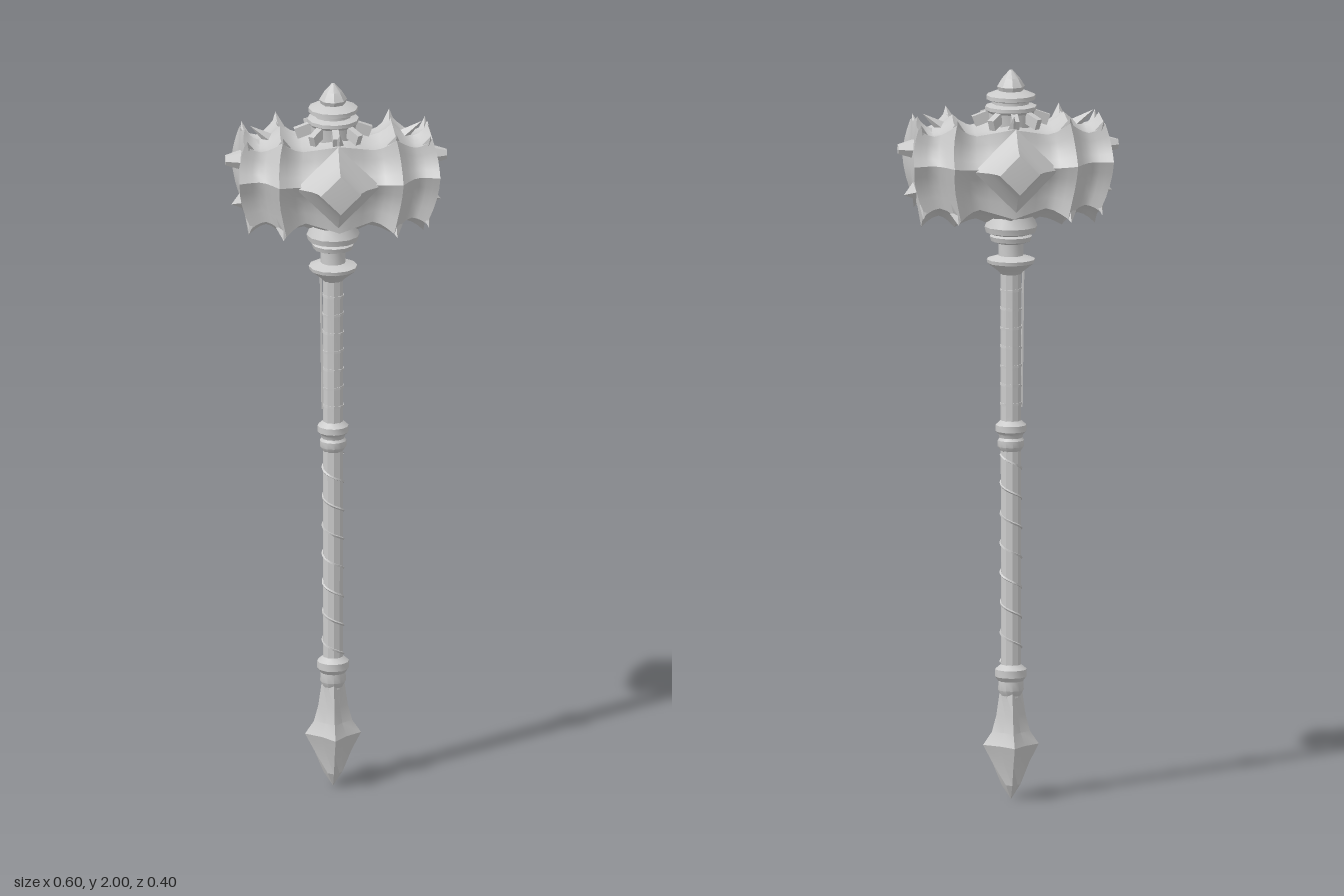
import * as THREE from 'three';
import { toCreasedNormals } from 'three/addons/utils/BufferGeometryUtils.js';

const AX = -0.008; // shaft axis in x
const HY = 1.74; // height of the head's centre
const material = new THREE.MeshStandardMaterial({ color: 0xcccccc, side: THREE.DoubleSide });

function add(parent, name, geometry, crease = 0.6) {
  const mesh = new THREE.Mesh(toCreasedNormals(geometry, crease), material);
  mesh.name = name;
  parent.add(mesh);
  return mesh;
}

function lathe(parent, name, points, sides = 12) {
  const mesh = add(parent, name, new THREE.LatheGeometry(points.map(p => new THREE.Vector2(...p)), sides));
  mesh.position.x = AX;
  return mesh;
}

// Skin closed loops of 3D points and cap both ends
function loft(rings) {
  const n = rings[0].length, pos = rings.flat(2), index = [];
  for (let i = 0; i < rings.length - 1; i++) {
    for (let j = 0; j < n; j++) {
      const a = i * n + j, b = i * n + (j + 1) % n;
      index.push(a, a + n, b, b, a + n, b + n);
    }
  }
  for (const end of [0, rings.length - 1]) {
    const centre = pos.length / 3;
    for (const k of [0, 1, 2]) pos.push(rings[end].reduce((s, p) => s + p[k], 0) / n + (k === 0 ? (end ? 0.012 : -0.012) : 0));
    for (let j = 0; j < n; j++) {
      const a = end * n + j, b = end * n + (j + 1) % n;
      index.push(centre, ...(end ? [b, a] : [a, b]));
    }
  }
  const g = new THREE.BufferGeometry();
  g.setAttribute('position', new THREE.Float32BufferAttribute(pos, 3));
  g.setIndex(index);
  return g;
}

// Half outlines (z, y) of the head from the side corner up and down
const stations = [
  { x: 0, side: [0.15, 0.01], upper: [0.11, 0.115], top: 0.14, lower: [0.115, -0.13], bottom: -0.185 },
  { x: 0.1, side: [0.132, 0.01], upper: [0.085, 0.095], top: 0.11, lower: [0.095, -0.105], bottom: -0.145 },
  { x: 0.168, side: [0.168, 0.02], upper: [0.112, 0.13], top: 0.142, lower: [0.13, -0.13], bottom: -0.168 },
  { x: 0.218, side: [0.108, 0.02], upper: [0.075, 0.095], top: 0.105, lower: [0.085, -0.1], bottom: -0.135 },
  { x: 0.272, side: [0.12, 0.02], upper: [0.08, 0.118], top: 0.138, lower: [0.09, -0.118], bottom: -0.165 },
];

function corners(s) {
  const flip = p => [-p[0], p[1]];
  return [s.side, s.upper, [0, s.top], flip(s.upper), flip(s.side), flip(s.lower), [0, s.bottom], s.lower];
}

// One scalloped ring; ridges sweep inward above and below
function section(from, to, t, sign) {
  const a = corners(from), b = corners(to), ring = [], sub = 4;
  const ease = from.x === 0 ? t : (to.side[0] > from.side[0] ? t ** 1.6 : 1 - (1 - t) ** 1.6);
  const c = a.map((p, i) => [p[0] + (b[i][0] - p[0]) * ease, p[1] + (b[i][1] - p[1]) * ease]);
  const x = from.x + (to.x - from.x) * t;
  for (let i = 0; i < 8; i++) {
    const p = c[i], q = c[(i + 1) % 8];
    for (let k = 0; k < sub; k++) {
      const u = k / sub, sag = 1 - 0.07 * Math.sin(Math.PI * u);
      const z = (p[0] + (q[0] - p[0]) * u) * sag, y = (p[1] + (q[1] - p[1]) * u) * sag;
      const bow = 1 - 0.13 * Math.min(1, ((y - 0.02) / 0.14) ** 2);
      ring.push([sign * x * bow, HY + y, z]);
    }
  }
  return ring;
}

function headGeometry() {
  const half = sign => {
    const rings = [];
    for (let i = 0; i < stations.length - 1; i++)
      for (let k = 1; k <= 3; k++) rings.push(section(stations[i], stations[i + 1], k / 3, sign));
    return rings;
  };
  return loft([...half(-1).reverse(), section(stations[0], stations[1], 0, 1), ...half(1)]);
}

// Four-sided spike pointing along a direction
function spike(parent, name, position, direction, radius, length) {
  const mesh = add(parent, name, new THREE.ConeGeometry(radius, length, 4), 0.3);
  mesh.position.set(...position);
  mesh.quaternion.setFromUnitVectors(new THREE.Vector3(0, 1, 0), new THREE.Vector3(...direction).normalize());
  return mesh;
}

function buildHead() {
  const head = new THREE.Group();
  head.name = 'head';
  add(head, 'headBody', headGeometry(), 0.65);

  for (const s of [-1, 1]) {
    // Flared diamond stud on the front and back
    const stud = add(head, 'diamondStud', new THREE.LatheGeometry(
      [[0.115, 0], [0.075, 0.03], [0.058, 0.055], [0.054, 0.072], [0, 0.075]].map(p => new THREE.Vector2(...p)), 4), 0.4);
    stud.rotation.x = s * Math.PI / 2;
    stud.position.set(-0.005, HY + 0.005, s * 0.127);

    // Studs on the end faces
    const endStud = add(head, 'endStud', new THREE.CylinderGeometry(0.014, 0.03, 0.05, 6), 0.4);
    endStud.rotation.z = -s * Math.PI / 2;
    endStud.position.set(s * 0.275, HY + 0.05, 0);
    spike(head, 'endBlade', [s * 0.262, HY - 0.07, 0], [s, -0.3, 0], 0.025, 0.045).scale.x = 1.4;

    // Horns along the ridges
    spike(head, 'topHorn', [s * 0.205, HY + 0.125, 0], [s * 0.8, 0.6, 0], 0.018, 0.07);
    spike(head, 'centreHorn', [0, HY + 0.125, s * 0.1], [0, 0.8, s * 0.6], 0.018, 0.07);
    for (const z of [-1, 1]) {
      spike(head, 'upperHorn', [s * 0.152, HY + 0.125, z * 0.1], [s * 0.1, 1, z * 0.7], 0.022, 0.05);
      spike(head, 'lowerHorn', [s * 0.152, HY - 0.125, z * 0.12], [s * 0.1, -0.8, z], 0.022, 0.045);
      spike(head, 'endHorn', [s * 0.245, HY + 0.112, z * 0.075], [s * 0.2, 1, z * 0.7], 0.016, 0.045);
      spike(head, 'endLowerHorn', [s * 0.24, HY - 0.11, z * 0.085], [s * 0.2, -1, z * 0.7], 0.016, 0.045);
    }
  }

  // Small fins around the upper collar
  for (let i = 0; i < 8; i++) {
    const a = i * Math.PI / 4 + (i % 2 ? 0.1 * (i % 4 === 1 ? 1 : -1) : 0);
    const fin = add(head, 'collarFin', new THREE.BoxGeometry(0.06, 0.03, 0.018));
    fin.position.set(AX + Math.cos(a) * 0.073, 1.872, Math.sin(a) * 0.073);
    fin.rotation.set(0, -a, -0.35);
  }
  return head;
}

// Pommel with four swept ridges ending in a point
function pommelGeometry() {
  const profile = [[0.001, 0.001], [0.026, 0.04], [0.05, 0.1], [0.076, 0.15], [0.052, 0.185], [0.04, 0.23], [0.03, 0.3]];
  const g = new THREE.LatheGeometry(profile.map(p => new THREE.Vector2(...p)), 8);
  const p = g.attributes.position;
  for (let i = 0; i < p.count; i++) {
    const x = p.getX(i), z = p.getZ(i), r = Math.hypot(x, z);
    if (Math.min(Math.abs(x), Math.abs(z)) > 0.3 * r) {
      const k = r > 0.032 ? 0.62 : 0.85;
      p.setX(i, x * k);
      p.setZ(i, z * k);
    }
  }
  return g;
}

export function createModel() {
  const mace = new THREE.Group();
  mace.name = 'mace';
  mace.add(buildHead());

  lathe(mace, 'shaft', [[0.027, 0.28], [0.028, 0.95], [0.028, 1.45], [0.035, 1.55]], 10);
  lathe(mace, 'lowerRing', [[0.027, 0.285], [0.035, 0.3], [0.034, 0.325], [0.043, 0.337], [0.043, 0.357], [0.027, 0.37]]);
  lathe(mace, 'middleRing', [[0.027, 0.955], [0.036, 0.968], [0.036, 0.985], [0.031, 0.992], [0.034, 1.002], [0.042, 1.01], [0.042, 1.027], [0.027, 1.04]]);
  lathe(mace, 'shaftGuard', [[0.027, 1.44], [0.036, 1.45], [0.064, 1.472], [0.066, 1.482], [0.034, 1.492], [0.034, 1.525],
    [0.054, 1.532], [0.058, 1.545], [0.05, 1.55], [0.068, 1.556], [0.072, 1.572], [0.06, 1.6]]);
  lathe(mace, 'upperCollar', [[0.06, 1.84], [0.064, 1.885], [0.07, 1.892], [0.07, 1.902], [0.05, 1.908], [0.05, 1.916],
    [0.067, 1.921], [0.067, 1.932], [0.04, 1.943], [0, 1.945]]);
  lathe(mace, 'finial', [[0.032, 1.94], [0.038, 1.955], [0.024, 1.978], [0.004, 2], [0, 2]], 8);
  add(mace, 'pommel', pommelGeometry(), 0.3).position.x = AX;

  // Spiral leather wrap on the lower grip
  const path = [];
  for (let i = 0; i <= 112; i++) {
    const a = i * Math.PI / 8;
    path.push(new THREE.Vector3(AX + 0.0275 * Math.cos(a), 0.375 + i * 0.0051, 0.0275 * Math.sin(a)));
  }
  add(mace, 'gripWrap', new THREE.TubeGeometry(new THREE.CatmullRomCurve3(path), 224, 0.0035, 4));

  // Raised bands on the upper shaft
  for (let i = 0; i < 7; i++) {
    const band = add(mace, 'shaftBand', new THREE.CylinderGeometry(0.0298, 0.0298, 0.007, 10));
    band.position.set(AX, 1.085 + i * 0.052, 0);
    band.rotation.z = i % 2 ? 0.08 : -0.06;
  }

  // Thin strap hanging beside the shaft
  const strap = add(mace, 'strap', new THREE.BoxGeometry(0.005, 0.38, 0.012));
  strap.position.set(AX - 0.031, 1.265, 0);
  strap.rotation.z = 0.012;
  return mace;
}
